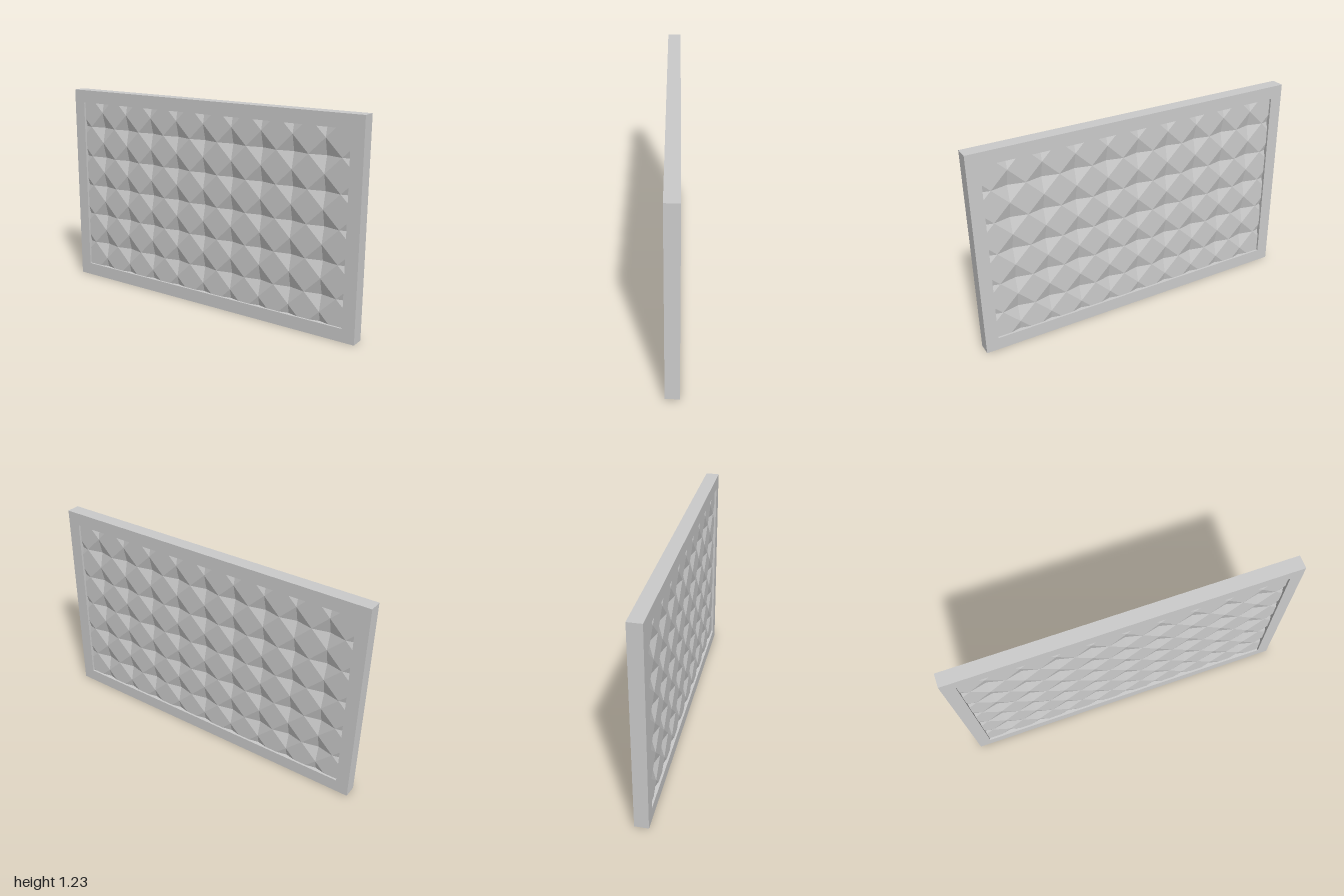
import * as THREE from 'three';

const H = 1.23, CY = H / 2, HALF = 0.04;
const STEP_Z = 0.0975, STEP_Y = 0.096; // half the pitch of the dimples
const FACE = 0.028, PIT = 0.005;       // x of the flat diamonds and of the dimple bottoms

function rect(shape, w, h) {
  shape.moveTo(-w, -h);
  shape.lineTo(w, -h);
  shape.lineTo(w, h);
  shape.lineTo(-w, h);
  shape.closePath();
  return shape;
}

// One faceted sheet facing +x: four-sided pits on a lattice, flat diamonds between
function dimpledSheet() {
  const pos = [];
  const point = (i, j) => [i % 2 === 0 && j % 2 === 0 ? PIT : FACE, j * STEP_Y, i * STEP_Z];
  for (let i = -10; i < 10; i++) {
    for (let j = -6; j < 6; j++) {
      const a = point(i, j), b = point(i, j + 1), c = point(i + 1, j + 1), d = point(i + 1, j);
      // the fold runs between the two corners that are neither pit nor diamond centre
      if ((i + j) % 2 === 0) pos.push(...a, ...b, ...d, ...b, ...c, ...d);
      else pos.push(...a, ...b, ...c, ...a, ...c, ...d);
    }
  }
  const geo = new THREE.BufferGeometry();
  geo.setAttribute('position', new THREE.Float32BufferAttribute(pos, 3));
  geo.computeVertexNormals();
  return geo;
}

export function createModel() {
  const group = new THREE.Group();
  const mat = new THREE.MeshStandardMaterial({ color: 0xcccccc, flatShading: true });

  // Rectangular frame with a square-edged opening
  const outline = rect(new THREE.Shape(), 1, CY);
  outline.holes.push(rect(new THREE.Path(), 0.925, CY - 0.077));
  const frameGeo = new THREE.ExtrudeGeometry(outline, { depth: HALF * 2, bevelEnabled: false });
  frameGeo.translate(0, 0, -HALF).rotateY(Math.PI / 2);
  const frame = new THREE.Mesh(frameGeo, mat);
  frame.name = 'frame';
  frame.position.y = CY;
  group.add(frame);

  // Dimpled panel, one sheet on each side, edges buried in the frame
  const sheet = dimpledSheet();
  ['panelRight', 'panelLeft'].forEach((name, k) => {
    const panel = new THREE.Mesh(sheet, mat.clone());
    panel.material.side = THREE.DoubleSide;
    panel.name = name;
    panel.position.y = CY;
    panel.rotation.y = k * Math.PI;
    group.add(panel);
  });
  return group;
}
